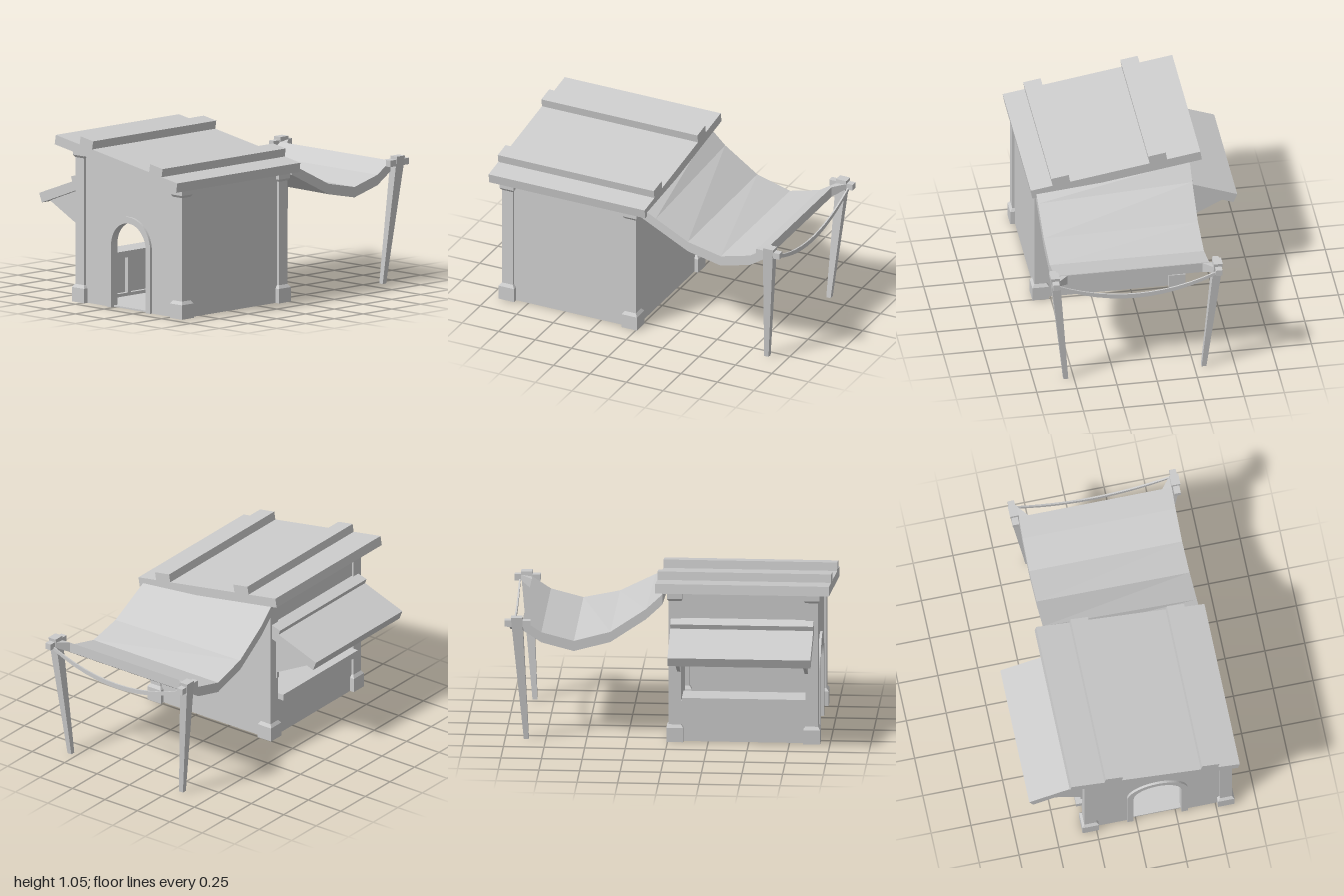
import * as THREE from 'three';

const mat = new THREE.MeshStandardMaterial({ color: 0xcccccc, flatShading: true, side: THREE.DoubleSide });
const MID = 0.12; // mirror plane of the canopy posts
const roofBottom = (x) => 0.975 - 0.166 * (x + 0.43);

function add(parent, name, geo) {
  const mesh = new THREE.Mesh(geo, mat);
  mesh.name = name;
  parent.add(mesh);
  return mesh;
}

// Box given by its limits on each axis
function block(parent, name, x0, x1, y0, y1, z0, z1) {
  const mesh = add(parent, name, new THREE.BoxGeometry(x1 - x0, y1 - y0, z1 - z0));
  mesh.position.set((x0 + x1) / 2, (y0 + y1) / 2, (z0 + z1) / 2);
  return mesh;
}

// Front-facing outline given depth from z0 to z1
function slab(parent, name, shape, z0, z1) {
  const geo = new THREE.ExtrudeGeometry(shape, { depth: z1 - z0, bevelEnabled: false, curveSegments: 16 });
  geo.translate(0, 0, z0);
  return add(parent, name, geo);
}

const polygon = (pts) => new THREE.Shape(pts.map(([x, y]) => new THREE.Vector2(x, y)));

// End wall with a sloping top and an optional arched doorway
function endWall(door) {
  const s = new THREE.Shape();
  s.moveTo(-0.31, 0);
  if (door) {
    s.lineTo(-0.015, 0);
    s.lineTo(-0.015, 0.39);
    s.absarc(0.135, 0.39, 0.15, Math.PI, 0, true);
    s.lineTo(0.285, 0);
  }
  s.lineTo(0.585, 0);
  s.lineTo(0.585, roofBottom(0.585) + 0.01);
  s.lineTo(-0.31, roofBottom(-0.31) + 0.01);
  s.closePath();
  return s;
}

function doorTrim() {
  const s = new THREE.Shape();
  s.moveTo(-0.055, 0);
  s.lineTo(-0.015, 0);
  s.lineTo(-0.015, 0.39);
  s.absarc(0.135, 0.39, 0.15, Math.PI, 0, true);
  s.lineTo(0.285, 0);
  s.lineTo(0.325, 0);
  s.lineTo(0.325, 0.39);
  s.absarc(0.135, 0.39, 0.19, 0, Math.PI, false);
  s.closePath();
  return s;
}

// Square pillar with a chamfered base and capital
function pillar(parent, x, z, capY) {
  const profile = [[0, 0], [0.052, 0], [0.052, 0.09], [0.038, 0.11], [0.038, capY],
    [0.049, capY + 0.015], [0.049, capY + 0.05], [0, capY + 0.05]];
  const pts = profile.map(([r, y]) => new THREE.Vector2(r * Math.SQRT2, y));
  add(parent, 'pillar', new THREE.LatheGeometry(pts, 4, Math.PI / 4)).position.set(x, 0, z);
}

function buildRoof() {
  const roof = new THREE.Group();
  roof.name = 'roof';
  block(roof, 'roofSlab', -0.535, 0.535, -0.03, 0.03, -0.535, 0.535);
  for (const x of [-0.27, 0.342]) block(roof, 'roofBatten', x - 0.055, x + 0.055, 0.02, 0.082, -0.535, 0.535);
  roof.position.set(0.1025, 0.9175, 0.465);
  roof.rotation.z = -Math.atan(0.166);
  return roof;
}

function buildAwning() {
  const awning = new THREE.Group();
  awning.name = 'awning';
  slab(awning, 'awningPanel', polygon([[-0.665, 0.632], [-0.642, 0.575], [-0.325, 0.694], [-0.325, 0.757]]), 0.02, 0.9);
  slab(awning, 'awningCleat', polygon([[-0.388, 0.768], [-0.366, 0.706], [-0.315, 0.724], [-0.315, 0.79]]), 0.02, 0.9);
  // Triangular cheeks at both ends
  const cheek = polygon([[-0.605, 0.588], [-0.335, 0.45], [-0.335, 0.41], [-0.315, 0.41], [-0.315, 0.7]]);
  for (const z of [0.06, 0.845]) slab(awning, 'awningCheek', cheek, z, z + 0.02);
  return awning;
}

function buildCanopy() {
  const canopy = new THREE.Group();
  canopy.name = 'canopy';

  // Sagging cloth: z, top height at the right edge, top height at the left edge
  const rows = [[-0.03, 0.95, 0.85], [-0.13, 0.855, 0.8], [-0.35, 0.705, 0.69],
    [-0.575, 0.643, 0.643], [-0.775, 0.695, 0.695], [-0.89, 0.77, 0.77]];
  const cloth = new THREE.BoxGeometry(0.96, 0.06, 1, 1, 1, rows.length - 1);
  const p = cloth.attributes.position;
  for (let i = 0; i < p.count; i++) {
    const [z, yRight, yLeft] = rows[Math.round((0.5 - p.getZ(i)) * (rows.length - 1))];
    const y = p.getX(i) < 0 ? yRight : yLeft;
    p.setXYZ(i, p.getX(i) + MID, y - (p.getY(i) < 0 ? 0.065 : 0), z);
  }
  cloth.computeVertexNormals();
  add(canopy, 'canopyCloth', cloth);

  // Thin sagging band between the posts
  const n = 12, top = [], bottom = [];
  for (let i = 0; i <= n; i++) {
    const t = (i / n) * 2 - 1, sag = 1 - t * t;
    top.push([MID + t * 0.5, 0.755 - 0.11 * sag]);
    bottom.unshift([MID + t * 0.5, 0.735 - 0.12 * sag]);
  }
  slab(canopy, 'sagBand', polygon([...bottom, ...top]), -0.972, -0.962);

  for (const side of [-1, 1]) {
    // Tapered, splayed leg
    const leg = new THREE.BoxGeometry(1, 1, 1);
    const q = leg.attributes.position;
    for (let i = 0; i < q.count; i++) {
      const up = q.getY(i) > 0;
      q.setXYZ(i, MID + side * (up ? 0.507 : 0.43) + q.getX(i) * (up ? 0.055 : 0.03),
        up ? 0.8 : 0, (up ? -0.925 : -0.87) + q.getZ(i) * (up ? 0.07 : 0.03));
    }
    leg.computeVertexNormals();
    add(canopy, 'canopyLeg', leg);
    const x = MID + side * 0.507;
    block(canopy, 'legCrossPeg', x - 0.02, x + 0.02, 0.74, 0.78, -1, -0.84);

    // Corner tie from the cloth to the leg
    const tie = new THREE.BufferGeometry();
    const a = MID + side * 0.48, b = MID + side * 0.42;
    tie.setAttribute('position', new THREE.Float32BufferAttribute(
      [a, 0.78, -0.96, a, 0.77, -0.89, b, 0.77, -0.89,
        a, 0.745, -0.96, a, 0.705, -0.89, b, 0.705, -0.89], 3));
    tie.setIndex(side < 0 ? [0, 1, 2, 3, 5, 4, 0, 2, 5, 0, 5, 3] : [0, 2, 1, 3, 4, 5, 0, 5, 2, 0, 3, 5]);
    tie.computeVertexNormals();
    add(canopy, 'cornerTie', tie);
  }
  return canopy;
}

export function createModel() {
  const model = new THREE.Group();
  model.name = 'marketHut';

  // Walls and floor
  slab(model, 'frontWall', endWall(true), 0.875, 0.91);
  slab(model, 'backWall', endWall(false), 0.02, 0.055);
  slab(model, 'doorTrim', doorTrim(), 0.87, 0.925);
  block(model, 'leftWall', 0.55, 0.585, 0, 0.815, 0.04, 0.9);
  block(model, 'rightWallLower', -0.31, -0.28, 0, 0.26, 0.04, 0.9);
  block(model, 'rightWallUpper', -0.315, -0.28, 0.72, 0.955, 0.04, 0.9);
  block(model, 'floor', -0.3, 0.57, 0, 0.01, 0.04, 0.9);

  // Serving counter under the side opening
  block(model, 'counterTop', -0.36, -0.2, 0.25, 0.29, 0.09, 0.85);
  for (const z of [0.1, 0.34, 0.58, 0.82]) block(model, 'counterPost', -0.225, -0.2, 0, 0.26, z - 0.012, z + 0.012);
  block(model, 'counterFootRail', -0.225, -0.2, 0, 0.03, 0.09, 0.85);

  // Corner pillars
  for (const z of [0.888, 0.045]) {
    pillar(model, -0.287, z, 0.9);
    pillar(model, 0.563, z, 0.755);
  }

  model.add(buildRoof(), buildAwning(), buildCanopy());
  return model;
}
